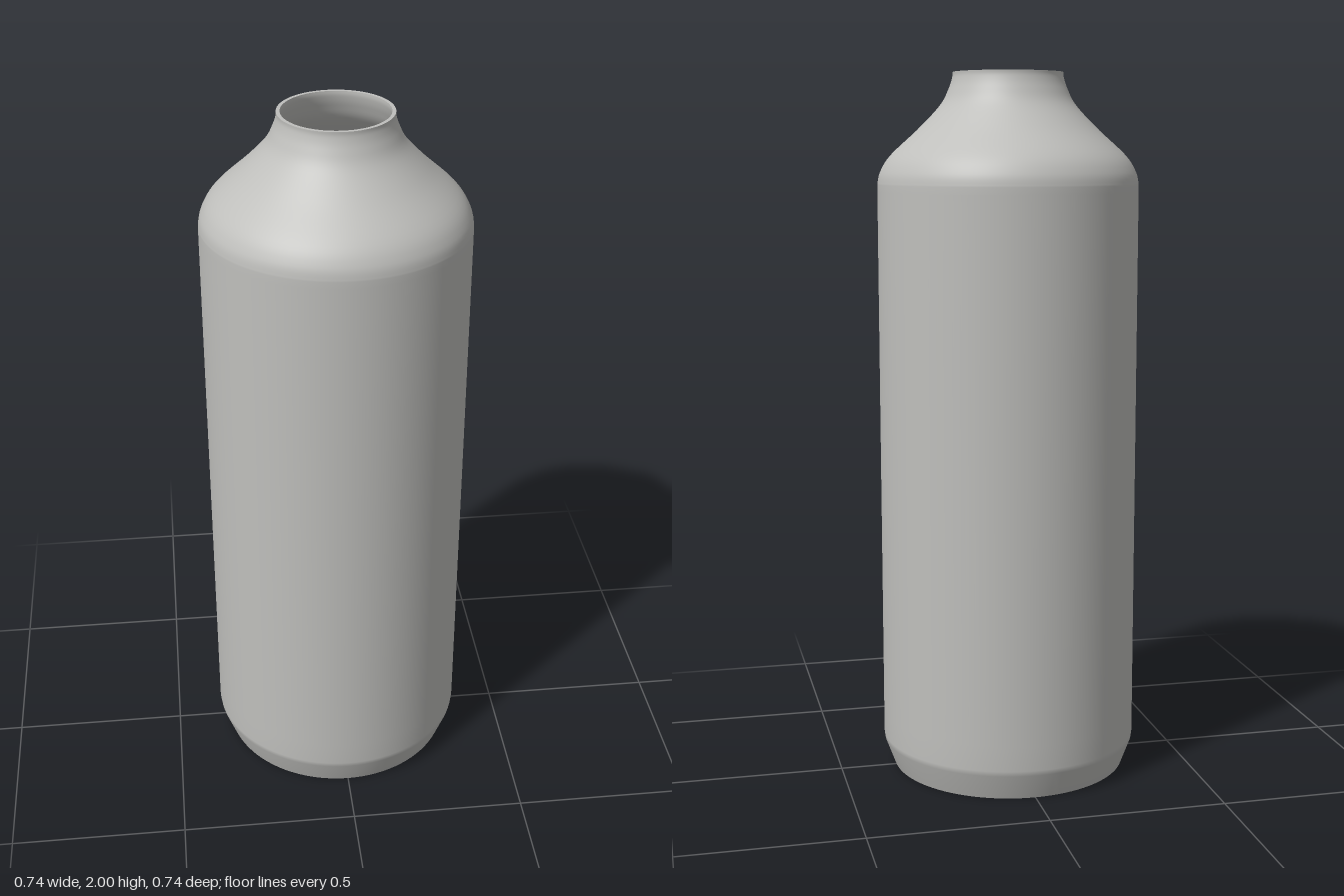
import * as THREE from 'three';

const SEGMENTS = 96;
const WALL = 0.01;

export function createModel() {
  const bottle = new THREE.Group();
  bottle.name = 'bottle';
  const metal = new THREE.MeshStandardMaterial({ color: 0xbfbfbc });
  metal.name = 'light grey metal';

  const add = (name, geometry) => {
    const mesh = new THREE.Mesh(geometry, metal);
    mesh.name = name;
    bottle.add(mesh);
    return mesh;
  };
  const lathe = (name, points) => add(name, new THREE.LatheGeometry(points, SEGMENTS));
  const v = (x, y) => new THREE.Vector2(x, y);

  // Shoulder: convex from the body, then concave into the short neck
  const shoulder = new THREE.SplineCurve([
    v(0.368, 1.69), v(0.36, 1.725), v(0.33, 1.772), v(0.25, 1.846),
    v(0.19, 1.91), v(0.166, 1.955), v(0.156, 1.985), v(0.155, 2),
  ]).getPoints(36);

  // Outer shell: tapered foot, straight body, shoulder and neck
  const outer = [v(0.338, 0), v(0.366, 0.075), v(0.368, 0.09), v(0.368, 0.16), v(0.368, 1.67), ...shoulder];
  lathe('outerShell', outer);

  // Inner shell, running down from the mouth so that it faces inward
  const inner = outer.map((p) => v(p.x - WALL, Math.max(p.y, WALL))).reverse();
  lathe('innerShell', inner);

  // Flat rim joining both shells
  lathe('rim', [v(0.155, 2), v(0.155 - WALL, 2)]);

  // Underside and inside floor
  const base = add('base', new THREE.CircleGeometry(0.338, SEGMENTS));
  base.rotation.x = Math.PI / 2;
  const floor = add('innerFloor', new THREE.CircleGeometry(0.338 - WALL, SEGMENTS));
  floor.rotation.x = -Math.PI / 2;
  floor.position.y = WALL;

  return bottle;
}
